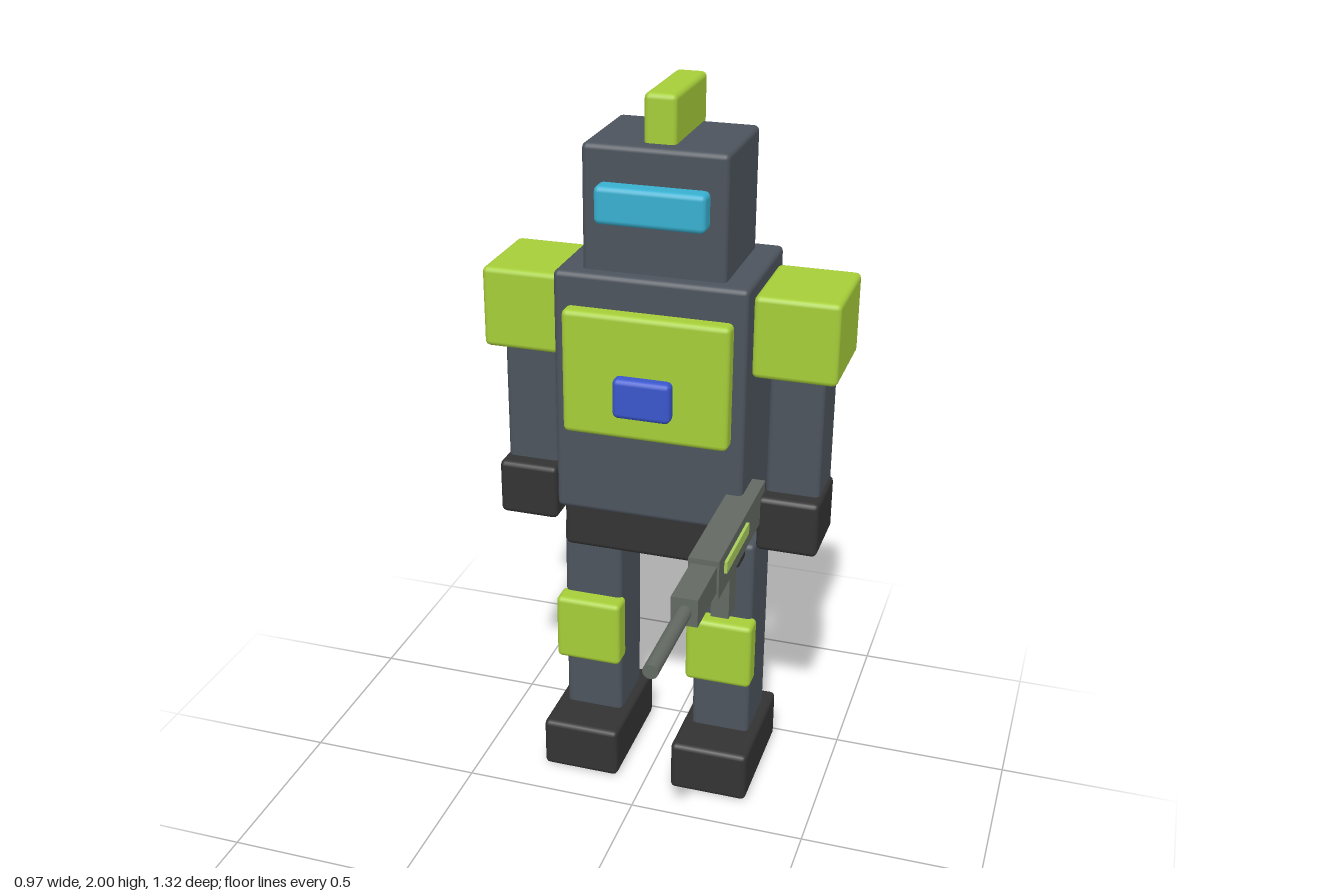
import * as THREE from 'three';
import { RoundedBoxGeometry } from 'three/addons/geometries/RoundedBoxGeometry.js';

const paint = (name, color) => {
  const m = new THREE.MeshStandardMaterial({ color });
  m.name = name;
  return m;
};

export function createModel() {
  const slate = paint('slate armour', 0x4d545d);
  const lime = paint('lime plating', 0xa6ce39);
  const black = paint('charcoal', 0x333333);
  const cyan = paint('cyan visor', 0x38b0d0);
  const blue = paint('blue light', 0x3a57cc);
  const gunGrey = paint('gun grey', 0x636a62);
  const paleLime = paint('pale lime', 0xa8cc5c);

  const model = new THREE.Group();
  model.name = 'robotSoldier';
  const body = new THREE.Group();
  body.name = 'body';
  body.position.x = -0.0025;
  const rifle = new THREE.Group();
  rifle.name = 'rifle';
  model.add(body, rifle);

  // Box between two extents on each axis; bevel 0 keeps sharp edges
  function box(parent, name, material, [x0, x1], [y0, y1], [z0, z1], bevel = 0.015) {
    const size = [x1 - x0, y1 - y0, z1 - z0];
    const geometry = bevel ? new RoundedBoxGeometry(...size, 2, bevel) : new THREE.BoxGeometry(...size);
    const mesh = new THREE.Mesh(geometry, material);
    mesh.name = name;
    mesh.position.set((x0 + x1) / 2, (y0 + y1) / 2, (z0 + z1) / 2);
    parent.add(mesh);
    return mesh;
  }

  // Head
  box(body, 'head', slate, [-0.193, 0.193], [1.53, 1.875], [-0.5, -0.185]);
  box(body, 'crest', lime, [-0.043, 0.043], [1.86, 2], [-0.52, -0.23]);
  box(body, 'visor', cyan, [-0.147, 0.147], [1.68, 1.78], [-0.2, -0.138]);

  // Trunk
  box(body, 'torso', slate, [-0.262, 0.262], [0.86, 1.545], [-0.535, -0.147]);
  box(body, 'chestPlate', lime, [-0.227, 0.227], [1.11, 1.455], [-0.17, -0.105]);
  box(body, 'chestLight', blue, [-0.079, 0.079], [1.18, 1.292], [-0.13, -0.075]);
  box(body, 'backpack', lime, [-0.183, 0.183], [0.95, 1.455], [-0.66, -0.51]);
  box(body, 'pelvis', black, [-0.253, 0.253], [0.725, 0.875], [-0.5, -0.18]);

  // Mirrored limbs
  for (const [side, s] of [['left', 1], ['right', -1]]) {
    const limb = (name, material, [a, b], y, z) =>
      box(body, side + name, material, s > 0 ? [a, b] : [-b, -a], y, z);
    limb('Shoulder', lime, [0.26, 0.487], [1.285, 1.51], [-0.483, -0.208]);
    limb('Arm', slate, [0.298, 0.448], [0.9, 1.3], [-0.425, -0.26]);
    limb('Hand', black, [0.288, 0.458], [0.78, 0.94], [-0.415, -0.21]);
    limb('Leg', slate, [0.109, 0.279], [0.13, 0.77], [-0.438, -0.245]);
    limb('KneePad', lime, [0.099, 0.291], [0.335, 0.535], [-0.265, -0.192]);
    limb('Foot', black, [0.082, 0.308], [0, 0.152], [-0.48, -0.115]);
  }

  // Rifle, pointing forward beside the left hand
  box(rifle, 'receiver', gunGrey, [0.216, 0.296], [0.862, 0.97], [-0.26, 0.215], 0);
  box(rifle, 'handguard', gunGrey, [0.222, 0.29], [0.88, 0.955], [0.2, 0.386], 0);
  box(rifle, 'magazine', gunGrey, [0.232, 0.281], [0.705, 0.87], [-0.023, 0.044], 0);
  for (const [name, x] of [['leftStripe', [0.295, 0.304]], ['rightStripe', [0.208, 0.217]]])
    box(rifle, name, paleLime, x, [0.912, 0.944], [-0.058, 0.166], 0);
  const barrel = new THREE.Mesh(new THREE.CylinderGeometry(0.019, 0.019, 0.29, 16), gunGrey);
  barrel.name = 'barrel';
  barrel.rotation.x = Math.PI / 2;
  barrel.position.set(0.256, 0.917, 0.515);
  rifle.add(barrel);

  return model;
}
